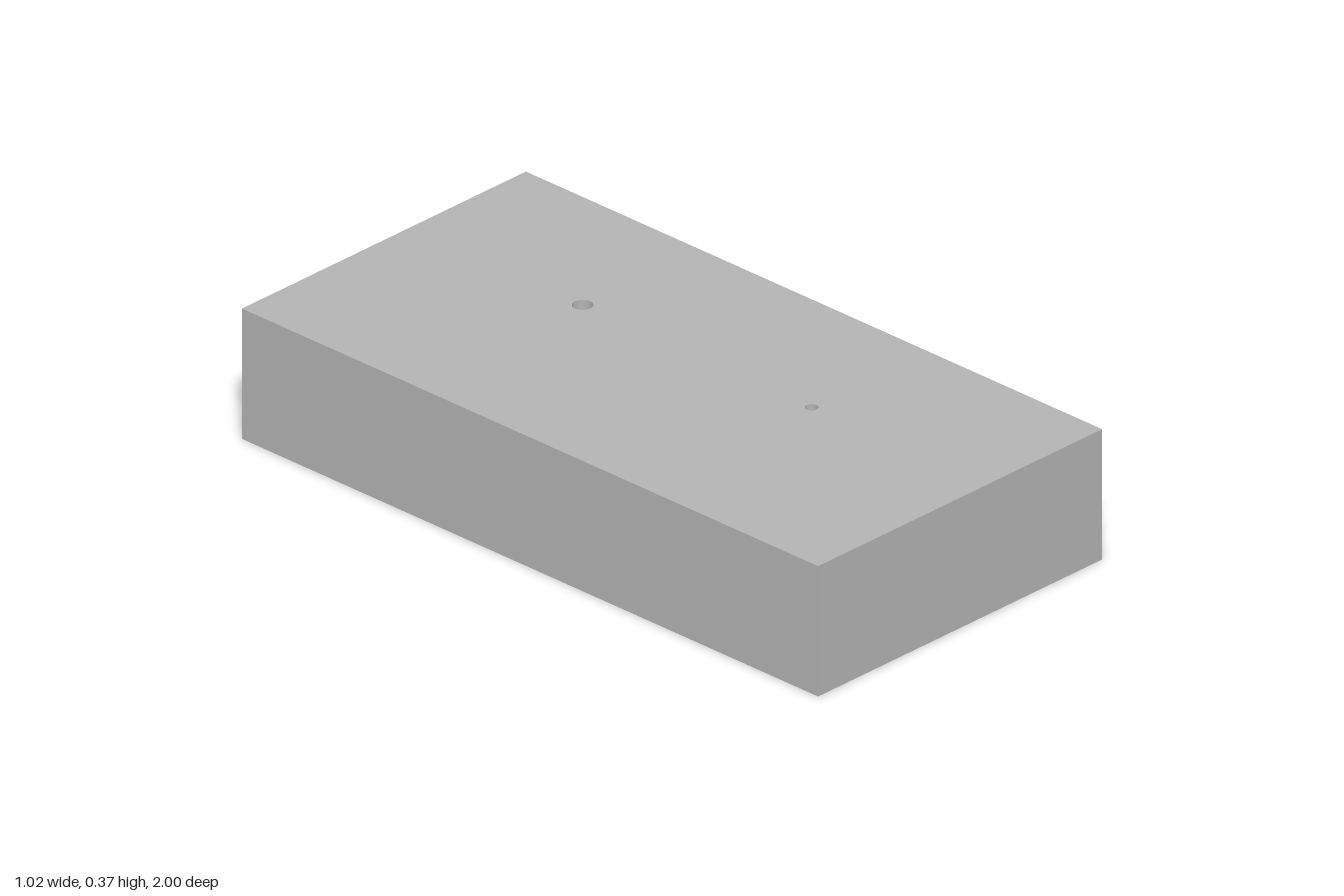
import * as THREE from 'three';

const W = 0.512, H = 0.368, L = 1;               // half width, height, half length
const SLOT = { w: 0.147, len: 0.622, r: 0.165 }; // half width, half length, depth
const BOLT = { r: 0.067, depth: 0.22 };
const PORTS = [[0.093, -0.4, 0.027], [0.093, 0.395, 0.017]];
const BOLTS = [-1, 1].flatMap(i => [-1, 1].map(j => [i * 0.362, j * 0.848, BOLT.r]));

export function createModel() {
  const model = new THREE.Group();
  const grey = new THREE.MeshStandardMaterial({ color: 0xb3b3b3, side: THREE.DoubleSide });
  grey.name = 'machinedGrey';

  const add = (name, geo, x = 0, y = 0, z = 0) => {
    const mesh = new THREE.Mesh(geo, grey);
    mesh.name = name;
    mesh.position.set(x, y, z);
    model.add(mesh);
  };
  const rect = (w, l, Type) => new Type([[-w, -l], [w, -l], [w, l], [-w, l]].map(p => new THREE.Vector2(...p)));

  // Flat horizontal face with round holes, facing up (dir 1) or down (dir -1)
  const face = (name, w, l, y, dir, circles, extra = []) => {
    const shape = rect(w, l, THREE.Shape);
    for (const [x, z, r] of circles) shape.holes.push(new THREE.Path().absarc(x, -dir * z, r, 0, Math.PI * 2, true));
    shape.holes.push(...extra);
    add(name, new THREE.ShapeGeometry(shape, 24).rotateX(-dir * Math.PI / 2), 0, y);
  };
  // Inner wall of a vertical round hole
  const bore = (name, [x, z, r], y0, y1) =>
    add(name, new THREE.CylinderGeometry(r, r, y1 - y0, 48, 1, true), x, (y0 + y1) / 2, z);

  // Outer block
  face('topFace', W, L, H, 1, PORTS);
  face('bottomFace', W, L, 0, -1, BOLTS, [rect(SLOT.w, SLOT.len, THREE.Path)]);
  for (const s of [1, -1]) {
    add(s > 0 ? 'frontFace' : 'backFace', new THREE.PlaneGeometry(2 * W, H).rotateY(s > 0 ? 0 : Math.PI), 0, H / 2, s * L);
    add('sideFace', new THREE.PlaneGeometry(2 * L, H).rotateY(s * Math.PI / 2), s * W, H / 2);
  }

  // Slot in the underside: flat ceiling, rounded ends, straight sides
  const c = SLOT.len - SLOT.r;
  face('slotCeiling', SLOT.w, c, SLOT.r, -1, PORTS);
  const profile = new THREE.Shape();
  profile.moveTo(SLOT.len, 0);
  profile.absarc(c, 0, SLOT.r, 0, Math.PI / 2, false);
  profile.absarc(-c, 0, SLOT.r, Math.PI / 2, Math.PI, false);
  for (const s of [1, -1]) {
    add('slotSide', new THREE.ShapeGeometry(profile, 24).rotateY(-s * Math.PI / 2), s * SLOT.w);
    const end = new THREE.CylinderGeometry(SLOT.r, SLOT.r, 2 * SLOT.w, 24, 1, true, s > 0 ? 0 : Math.PI / 2, Math.PI / 2);
    add('slotRoundedEnd', end.rotateZ(Math.PI / 2), 0, 0, s * c);
  }

  // Ports from the top into the slot
  for (const p of PORTS) bore('port', p, SLOT.r, H);

  // Blind bolt holes in the corners of the underside
  for (const b of BOLTS) {
    bore('boltHole', b, 0, BOLT.depth);
    add('boltHoleEnd', new THREE.CircleGeometry(BOLT.r, 48).rotateX(Math.PI / 2), b[0], BOLT.depth, b[1]);
  }
  return model;
}
